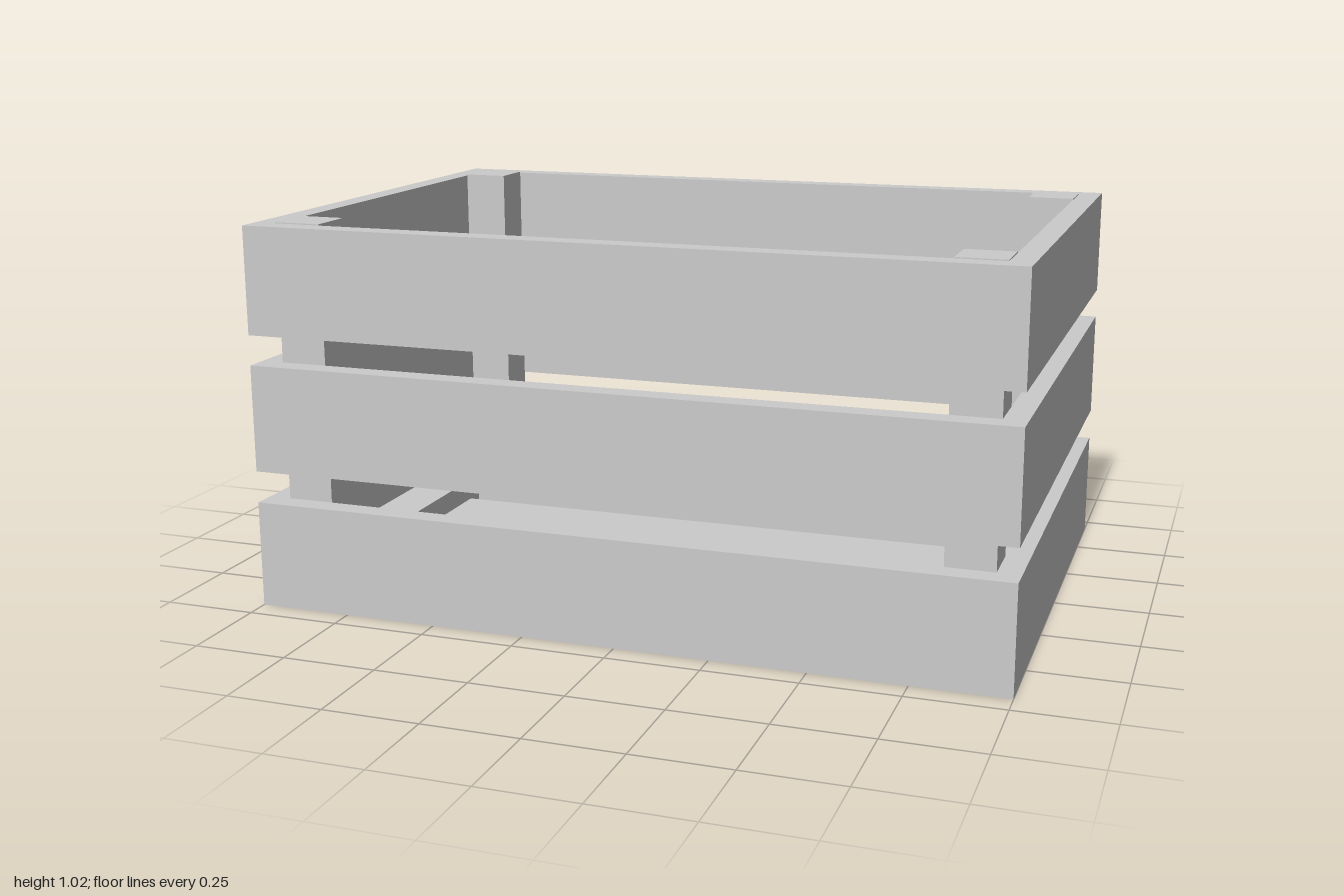
import * as THREE from 'three';

const W = 2, D = 1.37;                 // outer size
const T = 0.06;                        // board thickness
const BOARD_H = 0.285;
const POST = 0.125;
const POST_H = 1.023;
const X_IN = W / 2 - T, Z_IN = D / 2 - T;

export function createModel() {
  const crate = new THREE.Group();
  crate.name = 'slattedCrate';
  const material = new THREE.MeshStandardMaterial({ color: 0xcccccc });

  // Box placed by its centre in x and z and by its underside in y
  const box = (name, w, h, d, x, y, z) => {
    const mesh = new THREE.Mesh(new THREE.BoxGeometry(w, h, d), material);
    mesh.name = name;
    mesh.position.set(x, y + h / 2, z);
    crate.add(mesh);
  };

  // Three rings of wall boards; the end boards fit between the long ones
  for (const y of [0, 0.37, 0.735]) {
    for (const s of [1, -1]) {
      box(s > 0 ? 'frontBoard' : 'backBoard', W, BOARD_H, T, 0, y, s * (D - T) / 2);
      box(s > 0 ? 'leftBoard' : 'rightBoard', T, BOARD_H, D - 2 * T, s * (W - T) / 2, y, 0);
    }
  }

  for (const sx of [1, -1]) {
    const x = sx * (X_IN - POST / 2);
    // Corner posts inside the walls
    for (const sz of [1, -1]) {
      box('cornerPost', POST, POST_H, POST, x, 0, sz * (Z_IN - POST / 2));
    }
    // Floor batten between the two posts of each end
    box('floorBatten', POST, 0.12, 2 * (Z_IN - POST), x, 0, 0);
  }

  // Floor slats between the battens
  const slatL = 2 * (X_IN - POST);
  box('middleSlat', slatL, T, 0.4, 0, 0, 0);
  for (const s of [1, -1]) {
    box('outerSlat', slatL, T, Z_IN - 0.258, 0, 0, s * (Z_IN + 0.258) / 2);
  }

  return crate;
}
